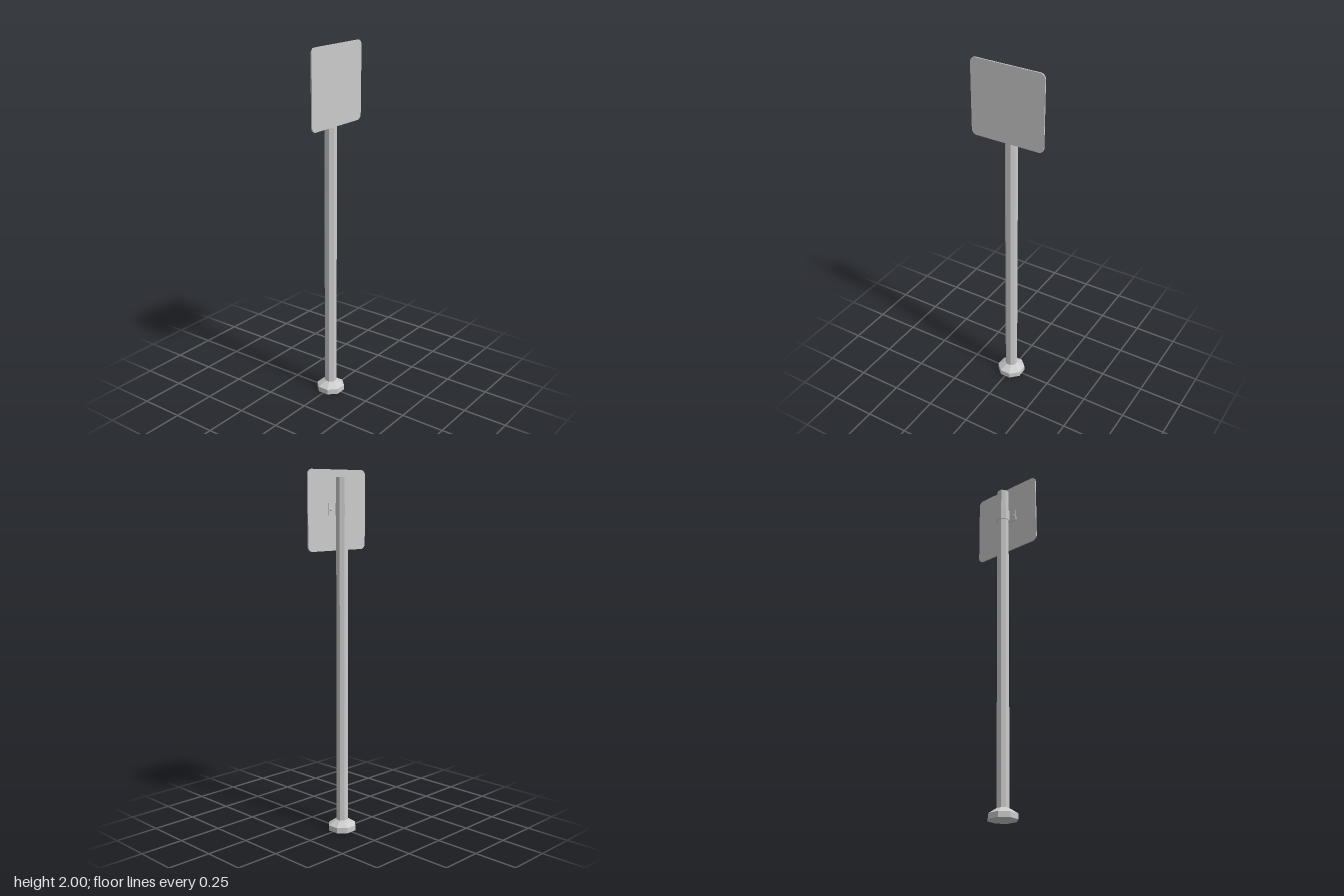
import * as THREE from 'three';

const material = new THREE.MeshStandardMaterial({ color: 0xcccccc, flatShading: true });

function add(group, name, geometry, x = 0, y = 0, z = 0) {
  const mesh = new THREE.Mesh(geometry, material);
  mesh.name = name;
  mesh.position.set(x, y, z);
  group.add(mesh);
  return mesh;
}

// Eight-sided lathe with flats facing the axes; radii are given across the flats
function octagonLathe(profile) {
  const points = profile.map(([a, y]) => new THREE.Vector2(a / Math.cos(Math.PI / 8), y));
  return new THREE.LatheGeometry(points, 8).rotateY(Math.PI / 8);
}

function roundedSquare(half, r) {
  const s = new THREE.Shape();
  const c = half - r;
  [[c, c], [-c, c], [-c, -c], [c, -c]].forEach(([x, y], i) =>
    s.absarc(x, y, r, i * Math.PI / 2, (i + 1) * Math.PI / 2, false));
  s.closePath();
  return s;
}

export function createModel() {
  const group = new THREE.Group();
  group.name = 'signPost';

  // Post and flared foot
  add(group, 'base', octagonLathe([[0, 0], [0.074, 0], [0.074, 0.03], [0.031, 0.06], [0, 0.06]]));
  add(group, 'pole', octagonLathe([[0, 0.05], [0.032, 0.05], [0.032, 1.96], [0, 1.96]]));

  // Sign plate
  add(group, 'signPlate', new THREE.ExtrudeGeometry(roundedSquare(0.2135, 0.03),
    { depth: 0.007, bevelEnabled: false, curveSegments: 4 }), 0, 1.7865, 0.036);

  // Bent strap around the back of the post, with a tab on each side (x, z)
  const outer = [[0.071, 0.036], [0.071, 0.031], [0.02, 0.031], [0.036, 0.015], [0.036, -0.015], [0.015, -0.036]];
  const inner = [[0.013, -0.032], [0.032, -0.013], [0.032, 0.013], [0.013, 0.032], [0.013, 0.036]];
  const mirror = (list) => list.map(([x, z]) => [-x, z]).reverse();
  const outline = [...outer, ...mirror(outer), ...mirror(inner), ...inner];
  // Order: right outer, left outer, left inner, right inner
  const strap = new THREE.Shape(outline.map(([x, z]) => new THREE.Vector2(x, -z)));
  add(group, 'clamp', new THREE.ExtrudeGeometry(strap, { depth: 0.065, bevelEnabled: false })
    .rotateX(-Math.PI / 2), 0, 1.76, 0);

  // Bolt heads on the back of the tabs
  for (const side of [-1, 1]) {
    add(group, side > 0 ? 'leftBolt' : 'rightBolt',
      new THREE.CylinderGeometry(0.01, 0.006, 0.005, 8).rotateX(Math.PI / 2), side * 0.053, 1.792, 0.0288);
  }
  return group;
}
